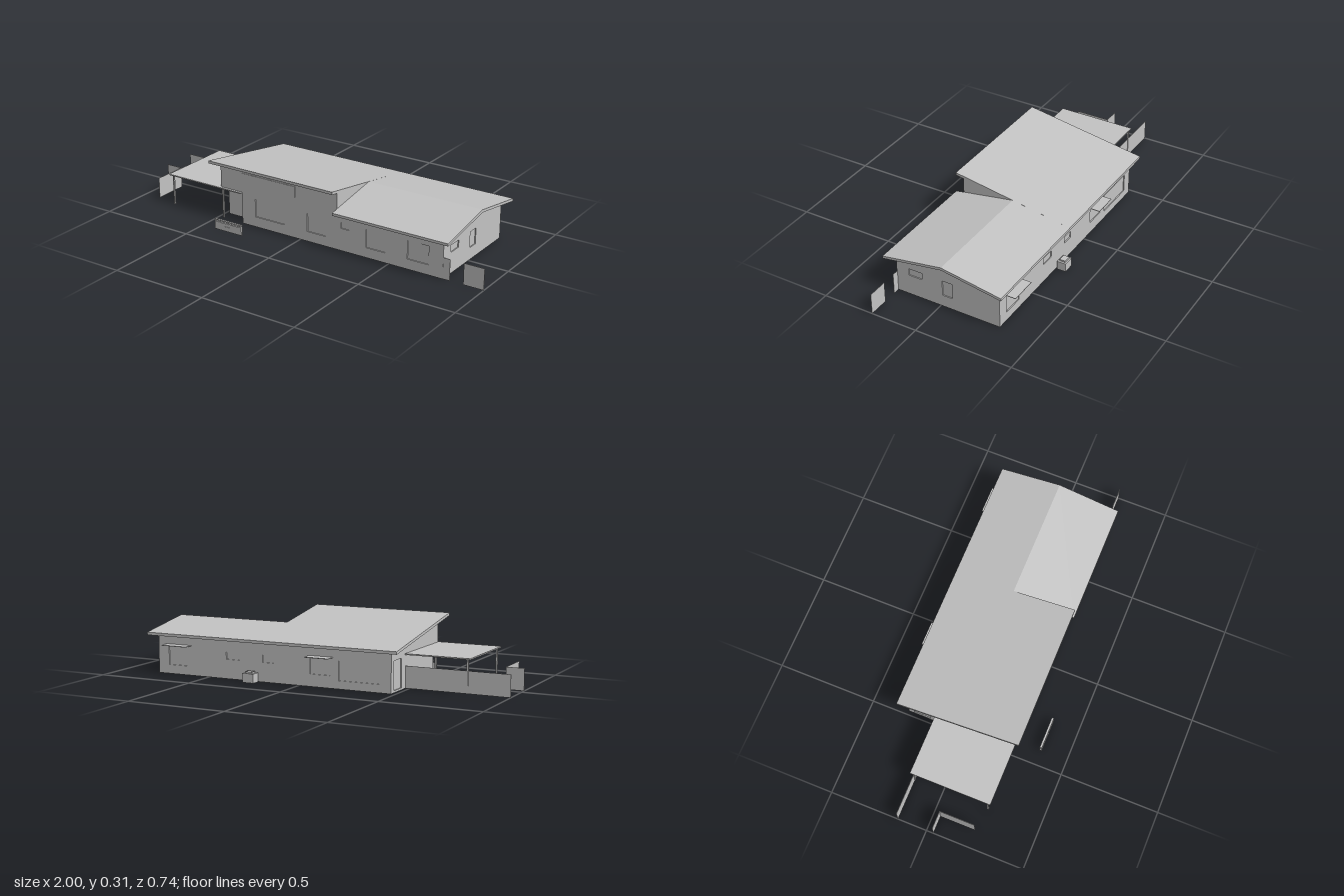
import * as THREE from 'three';

const T = 0.014; // wall thickness

export function createModel() {
  const model = new THREE.Group();
  const grey = new THREE.MeshStandardMaterial({ color: 0xc4c4c4, side: THREE.DoubleSide });
  grey.name = 'plain grey';

  const add = (name, geometry) => {
    const mesh = new THREE.Mesh(geometry, grey);
    mesh.name = name;
    model.add(mesh);
    return mesh;
  };
  // Box given by its limits on each axis
  const box = (name, x0, x1, y0, y1, z0, z1) =>
    add(name, new THREE.BoxGeometry(x1 - x0, y1 - y0, z1 - z0))
      .position.set((x0 + x1) / 2, (y0 + y1) / 2, (z0 + z1) / 2);
  // Flat outline with rectangular openings [u0, u1, v0, v1], given a depth
  const panel = (name, outline, openings, depth) => {
    const shape = new THREE.Shape(outline.map(([u, v]) => new THREE.Vector2(u, v)));
    for (const [u0, u1, v0, v1] of openings) {
      shape.holes.push(new THREE.Path([[u0, v0], [u0, v1], [u1, v1], [u1, v0]]
        .map(([u, v]) => new THREE.Vector2(u, v))));
    }
    return add(name, new THREE.ExtrudeGeometry(shape, { depth, bevelEnabled: false }));
  };
  // Outline in z and y, extruded from x1 towards -x
  const acrossX = (name, outline, openings, x0, x1) => {
    const mesh = panel(name, outline, openings, x1 - x0);
    mesh.rotation.y = -Math.PI / 2;
    mesh.position.x = x1;
  };

  // Roofs: tall single slope, and a lower gable at the left end
  acrossX('mainRoof', [[0.283, 0.295], [0.283, 0.309], [-0.35, 0.205], [-0.35, 0.191]], [], -0.522, 0.212);
  acrossX('gableRoof', [[0.283, 0.19], [0.283, 0.203], [-0.037, 0.256], [-0.35, 0.205],
    [-0.35, 0.191], [-0.037, 0.242]], [], 0.212, 0.835);
  acrossX('roofStepWall', [[0.24, 0.195], [0.24, 0.289], [-0.037, 0.243]], [], 0.212 - T, 0.212);

  // Front wall, notched for the entry porch
  const frontWindows = [[-0.27, -0.095, 0.053, 0.145], [0.04, 0.147, 0.051, 0.145],
    [0.235, 0.28, 0.115, 0.145], [0.375, 0.48, 0.051, 0.145], [0.6, 0.713, 0.051, 0.145]];
  panel('frontWall', [[-0.35, 0], [0.79, 0], [0.79, 0.197], [0.212, 0.197], [0.212, 0.289],
    [-0.48, 0.289], [-0.48, 0.163], [-0.35, 0.163]], frontWindows, T).position.z = 0.24 - T;
  for (const [x0, x1, y0, y1] of frontWindows) {
    box('frontWindowPane', x0, x1, y0, y1, 0.232, 0.235);
  }
  // High windows above the porch
  for (const [x0, x1] of [[-0.345, -0.133], [-0.133, -0.03]]) {
    box('highWindow', x0, x1, 0.213, 0.268, 0.24, 0.243);
  }

  // Back wall
  const backWindows = [[0.62, 0.73, 0.045, 0.145], [0.325, 0.4, 0.096, 0.131], [0.137, 0.197, 0.096, 0.131],
    [-0.165, -0.06, 0.06, 0.145], [-0.425, -0.21, 0.04, 0.133]];
  panel('backWall', [[-0.48, 0], [0.79, 0], [0.79, 0.197], [-0.48, 0.197]], backWindows, T).position.z = -0.315;
  for (const [x0, x1, y0, y1] of backWindows) {
    box('backWindowPane', x0, x1, y0, y1, -0.31, -0.307);
  }
  for (const [x0, x1] of [[-0.18, -0.055], [0.6, 0.74]]) {
    box('windowAwning', x0, x1, 0.146, 0.149, -0.368, -0.315);
  }

  // End walls
  const endWindows = [[0.1, 0.172, 0.107, 0.143], [-0.065, -0.01, 0.062, 0.143]];
  acrossX('leftEndWall', [[0.24, 0], [0.24, 0.197], [-0.037, 0.243], [-0.315, 0.197], [-0.315, 0]],
    endWindows, 0.79 - T, 0.79);
  for (const [z0, z1, y0, y1] of endWindows) {
    box('endWindowPane', 0.782, 0.785, y0, y1, z0, z1);
  }
  const sideDoor = [-0.285, -0.2, 0.01, 0.15];
  acrossX('rightEndWall', [[0.18, 0], [0.18, 0.163], [0.24, 0.163], [0.24, 0.289], [-0.315, 0.197], [-0.315, 0]],
    [sideDoor], -0.48, -0.48 + T);
  box('sideDoor', -0.475, -0.472, sideDoor[2], sideDoor[3], sideDoor[0], sideDoor[1]);

  // Recessed entry
  box('entryWall', -0.48, -0.35, 0, 0.163, 0.18 - T, 0.18);
  box('entryReturnWall', -0.35, -0.35 + T, 0, 0.163, 0.166, 0.24);

  // Carport roof, porch cover and posts
  box('carportRoof', -0.805, -0.48, 0.16, 0.166, -0.16, 0.253);
  box('porchCover', -0.48, -0.35, 0.16, 0.166, 0.18, 0.253);
  for (const [x, z] of [[-0.79, 0.235], [-0.472, 0.235], [-0.79, -0.15]]) {
    box('carportPost', x - 0.004, x + 0.004, 0, 0.16, z - 0.004, z + 0.004);
  }

  // Thin garden fences
  box('backFence', -1, -0.48, 0, 0.107, -0.151, -0.149);
  box('sideFenceFront', -1, -0.91, 0, 0.107, 0.034, 0.036);
  box('sideFenceReturn', -0.911, -0.909, 0, 0.107, 0.035, 0.215);
  box('gateFenceInner', 0.79, 0.825, 0, 0.107, 0.237, 0.239);
  box('gateFenceOuter', 0.895, 1, 0, 0.107, 0.237, 0.239);

  // Low street wall with a row of small blocks under its cap
  box('streetWall', -0.425, -0.262, 0, 0.04, 0.357, 0.368);
  for (let i = 0; i < 10; i++) {
    const x = -0.423 + i * 0.0168;
    box('streetWallBlock', x, x + 0.009, 0.04, 0.049, 0.358, 0.367);
  }
  box('streetWallCap', -0.425, -0.262, 0.049, 0.053, 0.357, 0.368);
  box('letterSlot', -0.36, -0.33, 0.017, 0.025, 0.368, 0.37);

  // Outdoor unit behind the house
  box('outdoorUnit', 0.22, 0.28, 0, 0.045, -0.368, -0.322);
  box('outdoorUnitTop', 0.23, 0.27, 0.045, 0.053, -0.36, -0.33);

  // Inner walls along the hallway, with doorways left open
  for (const [x0, x1, z] of [[-0.3, -0.14, -0.03], [-0.06, 0.1, -0.03], [0.18, 0.42, -0.03], [0.5, 0.776, -0.03],
    [-0.1, 0.12, 0.04], [0.2, 0.4, 0.04], [0.48, 0.7, 0.04]]) {
    box('hallWall', x0, x1, 0, 0.17, z - 0.005, z + 0.005);
  }
  for (const x of [-0.2, 0.05, 0.2, 0.4, 0.56]) {
    box('backRoomWall', x - 0.005, x + 0.005, 0, 0.17, -0.301, -0.03);
  }
  for (const x of [-0.08, 0.2, 0.32, 0.53]) {
    box('frontRoomWall', x - 0.005, x + 0.005, 0, 0.17, 0.04, 0.226);
  }

  // Beds, tables and counters
  for (const [x, z, w, d] of [[-0.38, -0.2, 0.1, 0.1], [-0.1, -0.22, 0.1, 0.12], [0.12, -0.25, 0.1, 0.05],
    [0.3, -0.25, 0.12, 0.06], [0.48, -0.2, 0.08, 0.12], [0.68, -0.2, 0.1, 0.13], [-0.22, 0.13, 0.12, 0.07],
    [0.06, 0.14, 0.1, 0.11], [0.26, 0.19, 0.06, 0.05], [0.43, 0.14, 0.09, 0.11], [0.66, 0.14, 0.1, 0.11]]) {
    box('furniture', x - w / 2, x + w / 2, 0.02, 0.045, z - d / 2, z + d / 2);
  }
  return model;
}
